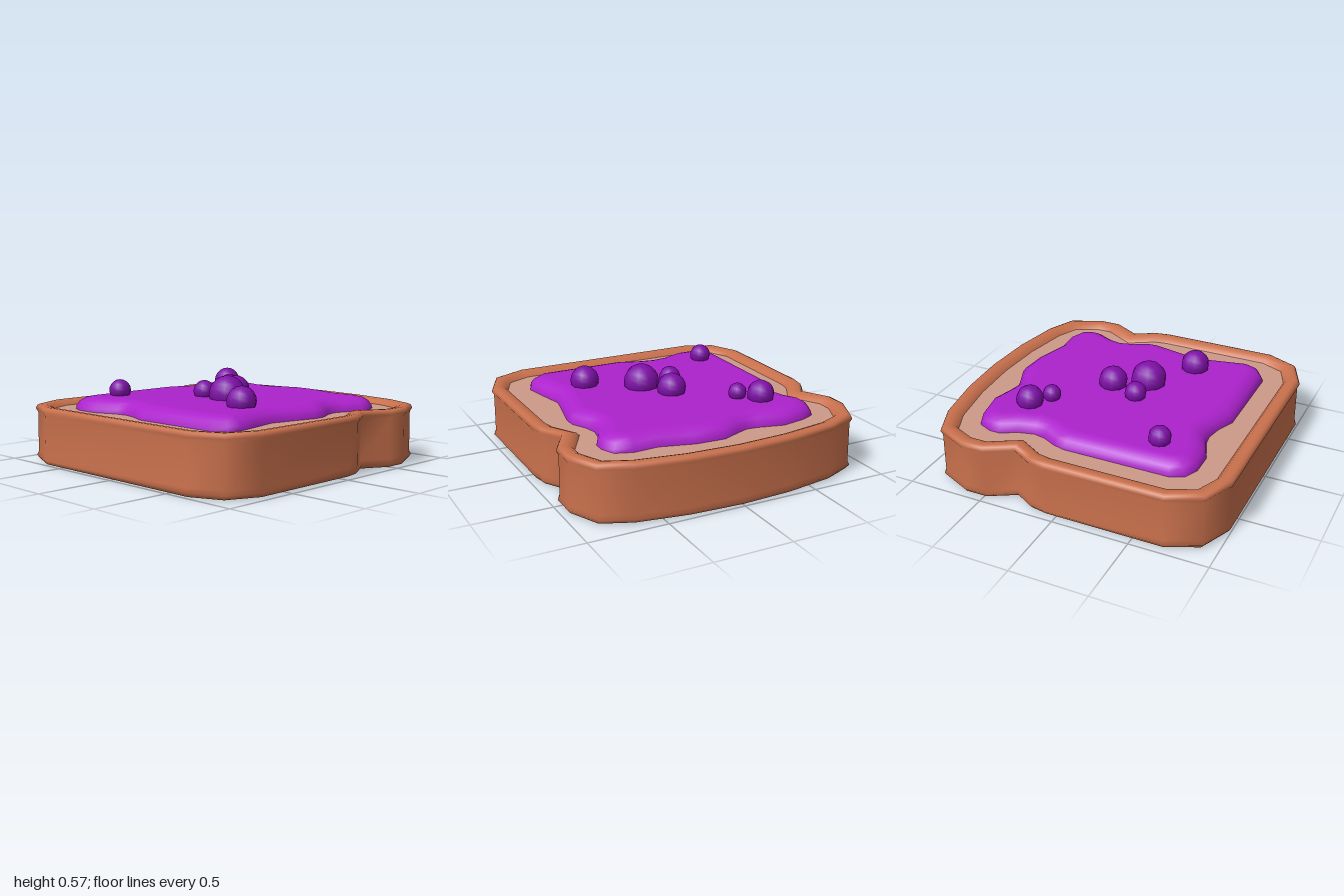
import * as THREE from 'three';

const mat = (name, color, side = THREE.FrontSide) => {
  const m = new THREE.MeshStandardMaterial({ color, side });
  m.name = name;
  return m;
};

// Moves a closed outline of [x, z] points inwards by d, mitring the corners
function inset(pts, d) {
  const n = pts.length;
  const normal = (p, q) => {
    const dx = q[0] - p[0], dz = q[1] - p[1], l = Math.hypot(dx, dz);
    return [-dz / l, dx / l];
  };
  return pts.map((p, i) => {
    const a = normal(pts[(i + n - 1) % n], p), b = normal(p, pts[(i + 1) % n]);
    const k = d / (1 + a[0] * b[0] + a[1] * b[1]);
    return [p[0] + (a[0] + b[0]) * k, p[1] + (a[1] + b[1]) * k];
  });
}

// Skin over rings of the outline; profile is [inset, y] from bottom to top
function loft(outline, profile) {
  const n = outline.length, pos = [], idx = [];
  for (const [d, y] of profile) for (const [x, z] of inset(outline, d)) pos.push(x, y, z);
  for (let j = 0; j < profile.length - 1; j++) {
    for (let i = 0; i < n; i++) {
      const a = j * n + i, b = j * n + (i + 1) % n;
      idx.push(a, a + n, b, b, a + n, b + n);
    }
  }
  const g = new THREE.BufferGeometry();
  g.setAttribute('position', new THREE.Float32BufferAttribute(pos, 3));
  g.setIndex(idx);
  g.computeVertexNormals();
  return g;
}

// Flat face filling an outline, facing up (1) or down (-1)
function cap(outline, d, y, up) {
  const shape = new THREE.Shape(inset(outline, d).map(([x, z]) => new THREE.Vector2(x, -z * up)));
  return new THREE.ShapeGeometry(shape).rotateX(-up * Math.PI / 2).translate(0, y, 0);
}

export function createModel() {
  const group = new THREE.Group();
  const crust = mat('crust brown', 0xc8704c);
  const crumb = mat('crumb beige', 0xcc9a88);
  const jam = mat('jam purple', 0xac22cc);
  const berry = mat('berry purple', 0x7f10a8);
  const add = (name, geometry, material) => {
    const m = new THREE.Mesh(geometry, material);
    m.name = name;
    group.add(m);
    return m;
  };

  // Bread slice: back half of the outline, mirrored to the front
  const half = [
    [-1, -0.66], [-0.91, -0.87], [-0.7, -0.965], [0.07, -0.965], [0.18, -0.945], [0.31, -0.87],
    [0.48, -0.965], [0.63, -0.965], [0.84, -0.87], [0.925, -0.67], [0.98, -0.34],
  ];
  const slice = [...half, [0.998, 0], ...half.map(([x, z]) => [x, -z]).reverse()];
  add('crust', loft(slice, [
    [0.108, 0.035], [0.085, 0.012], [0.05, 0], [0.02, 0.004], [0, 0.03], [0.012, 0.055],
    [0.014, 0.315], [0, 0.34], [0.01, 0.362], [0.03, 0.37], [0.06, 0.368], [0.09, 0.357], [0.108, 0.335],
  ]), crust);
  add('crumbTop', cap(slice, 0.107, 0.336, 1), crumb);
  add('crumbBottom', cap(slice, 0.107, 0.034, -1), crumb);

  // Jam: wavy outline with a rounded edge
  const spread = [
    [-0.76, -0.6], [-0.72, -0.69], [-0.63, -0.73], [0.05, -0.73], [0.13, -0.71], [0.22, -0.665],
    [0.3, -0.65], [0.4, -0.675], [0.5, -0.73], [0.57, -0.73], [0.66, -0.69], [0.7, -0.6],
    [0.73, -0.44], [0.69, -0.28], [0.68, -0.2], [0.71, -0.12], [0.76, 0], [0.75, 0.19],
    [0.69, 0.41], [0.7, 0.57], [0.66, 0.68], [0.57, 0.72], [0.5, 0.72], [0.38, 0.66],
    [0.3, 0.645], [0.22, 0.665], [0.12, 0.715], [0.04, 0.72], [-0.12, 0.685], [-0.29, 0.65],
    [-0.47, 0.69], [-0.62, 0.72], [-0.7, 0.69], [-0.76, 0.6], [-0.76, 0], [-0.71, -0.12],
    [-0.69, -0.22], [-0.7, -0.3], [-0.76, -0.45],
  ];
  add('jam', loft(spread, [[0, 0.33], [0.005, 0.36], [0.025, 0.388], [0.06, 0.411], [0.095, 0.419], [0.11, 0.42]]), jam);
  add('jamTop', cap(spread, 0.11, 0.42, 1), jam);

  // Berries: x, z, radius
  [
    [-0.13, 0.12, 0.117], [-0.33, 0.44, 0.094], [0.07, 0, 0.094], [0.44, -0.445, 0.088],
    [-0.485, -0.52, 0.071], [0.345, -0.33, 0.059], [-0.13, -0.09, 0.071],
  ].forEach(([x, z, r], i) => {
    add('berry' + (i + 1), new THREE.SphereGeometry(r, 10, 10), berry).position.set(x, 0.452, z);
  });
  return group;
}
